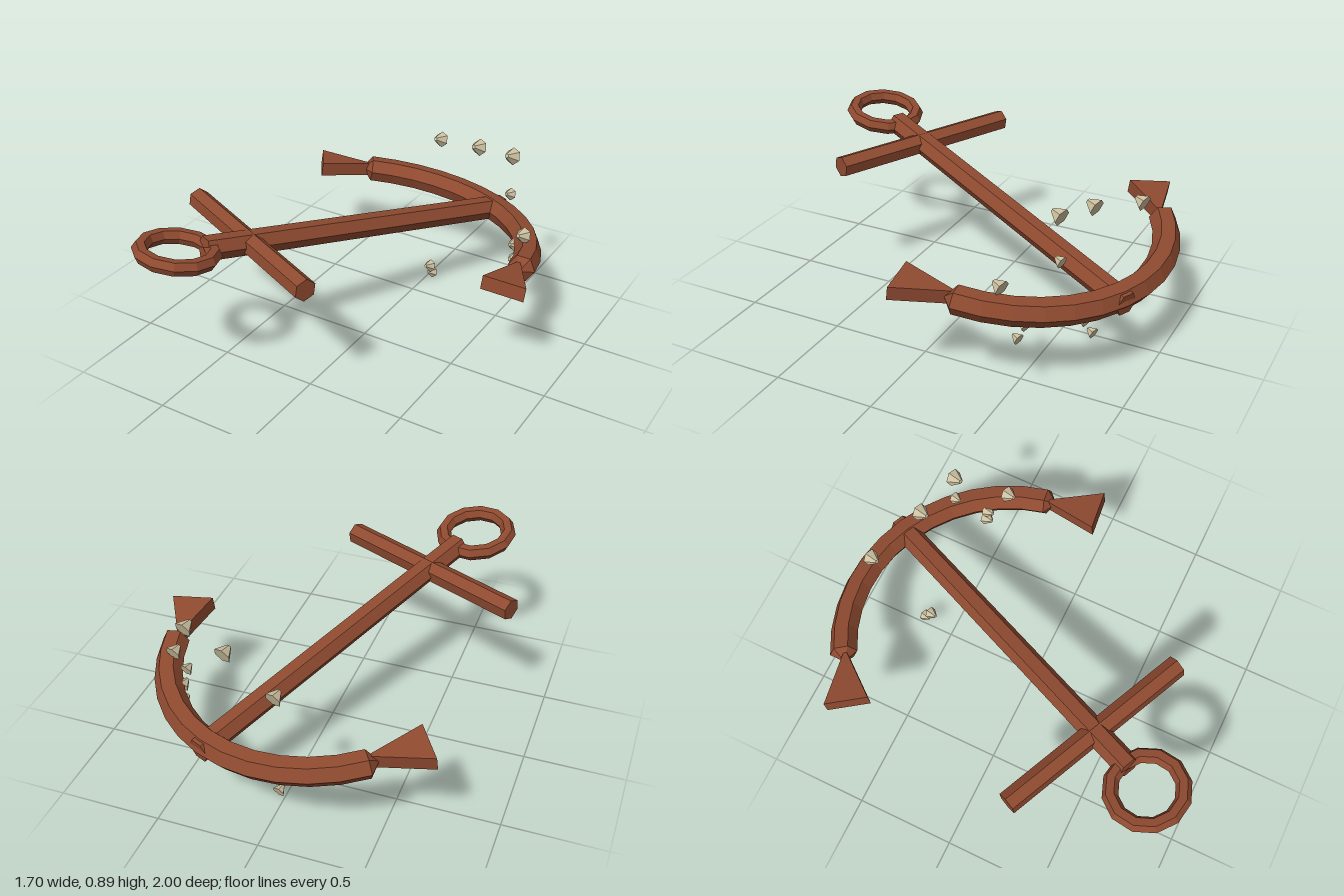
import * as THREE from 'three';

export function createModel() {
  const model = new THREE.Group();
  model.name = 'sunkenAnchor';

  const rust = new THREE.MeshStandardMaterial({ color: 0x8f4a30, flatShading: true });
  rust.name = 'rust';
  const shell = new THREE.MeshStandardMaterial({ color: 0xcdc0a0, flatShading: true });
  shell.name = 'shell';

  const add = (parent, name, geometry, material) => {
    const mesh = new THREE.Mesh(geometry, material);
    mesh.name = name;
    parent.add(mesh);
    return mesh;
  };

  // Anchor frame: origin at the crown, +z along the shank to the ring, x across
  const anchor = new THREE.Group();
  anchor.name = 'anchor';
  anchor.position.set(0.28, 0.415, -0.87);
  anchor.rotation.set(-0.172, -0.434, 0, 'YXZ');
  model.add(anchor);

  // Shank
  add(anchor, 'shank', new THREE.CylinderGeometry(0.06, 0.06, 1.79, 6)
    .rotateY(Math.PI / 6).rotateX(Math.PI / 2).translate(0, 0, 0.84), rust);

  // Stock
  add(anchor, 'stock', new THREE.CylinderGeometry(0.055, 0.055, 1.03, 6)
    .rotateY(Math.PI / 6).rotateZ(Math.PI / 2).translate(-0.01, 0, 1.5), rust);

  // Ring
  add(anchor, 'ring', new THREE.TorusGeometry(0.168, 0.038, 6, 12)
    .rotateX(Math.PI / 2).translate(-0.01, 0, 1.866), rust);

  // Curved arms
  const R = 0.761, r = 0.068, half = 1.016;
  add(anchor, 'arms', new THREE.TorusGeometry(R, r, 6, 12, half * 2)
    .rotateZ(-Math.PI / 2 - half).rotateX(Math.PI / 2).translate(0, 0, R), rust);

  for (const side of [1, -1]) {
    const label = side > 0 ? 'left' : 'right';

    // Blunt arm tip
    const tip = add(anchor, label + 'ArmTip',
      new THREE.ConeGeometry(r, 0.05, 6).translate(0, 0.025, 0).rotateZ(-Math.PI / 2), rust);
    tip.position.set(side * R * Math.sin(half), 0, R - R * Math.cos(half));
    tip.rotation.y = side > 0 ? -half : Math.PI + half;

    // Triangular fluke
    const outline = new THREE.Shape([[0.632, 0.365], [0.88, 0.542], [0.7, 0.655]]
      .map(([x, z]) => new THREE.Vector2(side * x, z)));
    add(anchor, label + 'Fluke',
      new THREE.ExtrudeGeometry(outline, { depth: 0.07, bevelEnabled: false })
        .rotateX(Math.PI / 2).translate(0, 0.035, 0), rust);
  }

  // Barnacles: squat six-sided cones, x, y, z, radius
  const barnacles = [
    [-0.045, 0.75, -0.835, 0.042], [0.24, 0.825, -0.71, 0.044],
    [0.46, 0.86, -0.637, 0.044], [0.46, 0.64, -0.652, 0.032],
    [0.633, 0.55, -0.443, 0.042], [0.555, 0.435, -0.525, 0.036],
    [0.555, 0.345, -0.535, 0.038], [0.645, 0.32, -0.54, 0.03],
    [0.03, 0.095, -0.617, 0.034], [0.025, 0.035, -0.655, 0.032],
  ];
  const facing = new THREE.Vector3(-0.25, 0.35, 0.9).normalize();
  barnacles.forEach(([x, y, z, size], i) => {
    const cone = add(model, 'barnacle' + (i + 1),
      new THREE.CylinderGeometry(size * 0.25, size, size * 1.25, 6), shell);
    cone.position.set(x, y, z);
    cone.quaternion.setFromUnitVectors(new THREE.Vector3(0, 1, 0), facing);
  });

  return model;
}
